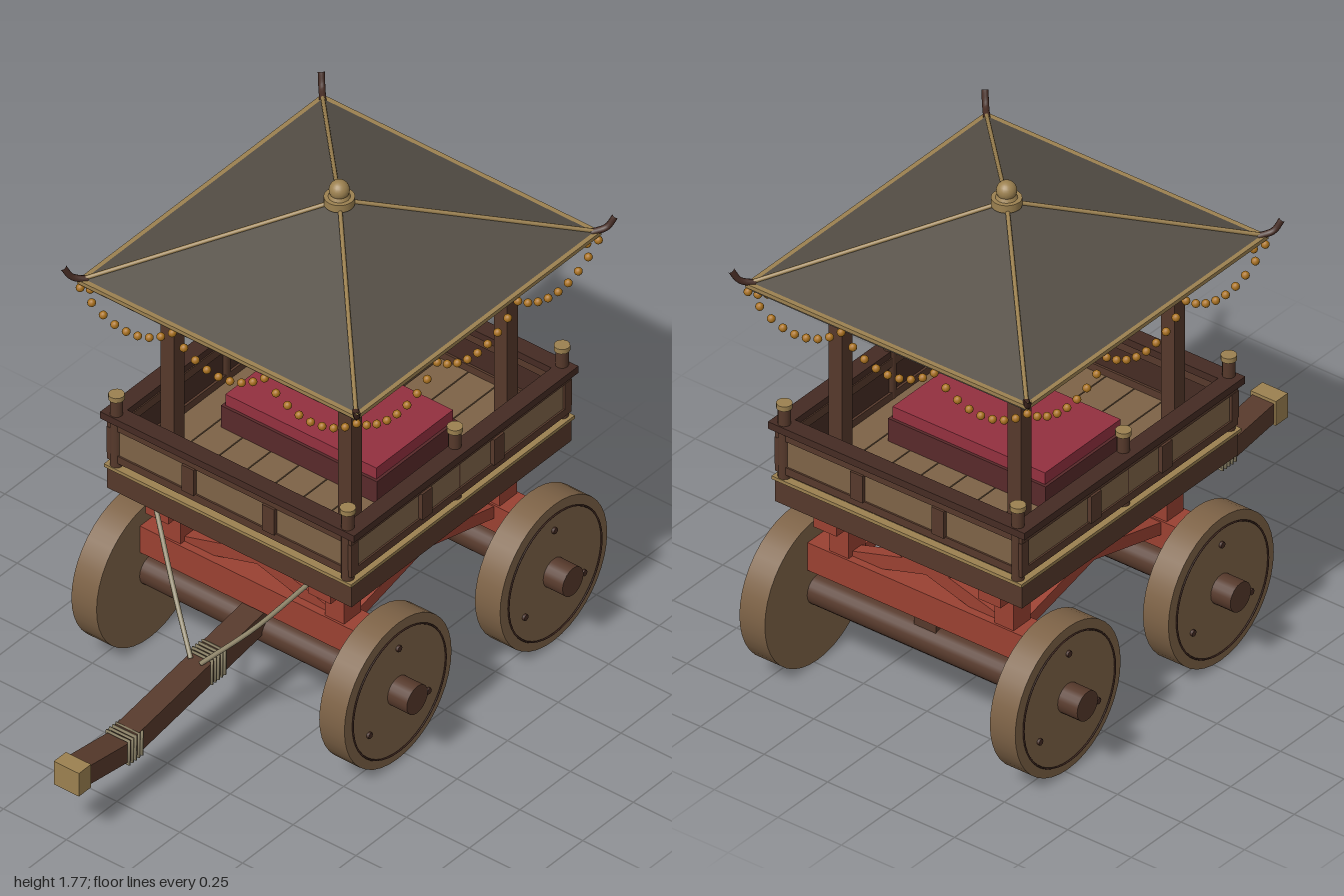
import * as THREE from 'three';

const mat = (name, color, extra = {}) => {
  const m = new THREE.MeshStandardMaterial({ color, ...extra });
  m.name = name;
  return m;
};

export function createModel() {
  const root = new THREE.Group();
  root.name = 'ceremonialCart';
  const wood = mat('darkWood', 0x56392b);
  const ebony = mat('ebonyWood', 0x452b23);
  const tan = mat('tanWood', 0x7e6347);
  const red = mat('redPaint', 0x9a4132);
  const slate = mat('roofSlate', 0x565047);
  const brass = mat('brass', 0x9c8150);
  const gold = mat('goldBeads', 0xa8701c);
  const crimson = mat('crimsonCloth', 0x93303f);
  const maroon = mat('maroonWood', 0x58292a);
  const rope = mat('rope', 0x8f8569);
  const CZ = -0.35;               // middle of the body
  const AXLES = [0.035, -0.735];
  const V = (x, y, z) => new THREE.Vector3(x, y, z);

  const add = (name, geo, m, x = 0, y = 0, z = 0, parent = root) => {
    const mesh = new THREE.Mesh(geo, m);
    mesh.name = name;
    mesh.position.set(x, y, z);
    parent.add(mesh);
    return mesh;
  };
  // box given by its size and centre
  const box = (name, m, w, h, d, x, y, z, parent) =>
    add(name, new THREE.BoxGeometry(w, h, d), m, x, y, z, parent);
  // square beam between two points
  const beam = (name, m, a, b, w, h) => {
    const mid = a.clone().add(b).multiplyScalar(0.5);
    const mesh = box(name, m, w, h, a.distanceTo(b), mid.x, mid.y, mid.z);
    mesh.lookAt(b);
    return mesh;
  };
  const tube = (name, m, pts, r, seg = 10) =>
    add(name, new THREE.TubeGeometry(new THREE.CatmullRomCurve3(pts), seg, r, 8), m);
  // rectangular ring of four bars with outer half sizes hx, hz
  const ring = (name, m, hx, hz, t, h, y) => {
    for (const s of [-1, 1]) {
      box(name, m, 2 * hx, h, t, 0, y, CZ + s * (hz - t / 2));
      box(name, m, t, h, 2 * (hz - t), s * (hx - t / 2), y, CZ);
    }
  };

  // Wheels and axles
  const axleGeo = new THREE.CylinderGeometry(0.052, 0.052, 1.24, 20).rotateZ(Math.PI / 2);
  const wheelGeo = new THREE.CylinderGeometry(0.265, 0.265, 0.1, 40).rotateZ(Math.PI / 2);
  const pegGeo = new THREE.CylinderGeometry(0.011, 0.011, 0.012, 8).rotateZ(Math.PI / 2);
  const grooveGeo = new THREE.TorusGeometry(0.23, 0.003, 6, 48).rotateY(Math.PI / 2);
  for (const z of AXLES) {
    add('axle', axleGeo, wood, 0, 0.268, z);
    for (const s of [-1, 1]) {
      const wheel = new THREE.Group();
      wheel.name = 'wheel';
      wheel.position.set(s * 0.493, 0.265, z);
      root.add(wheel);
      add('wheelDisc', wheelGeo, tan, 0, 0, 0, wheel);
      add('wheelRing', grooveGeo, ebony, s * 0.056, 0, 0, wheel);
      for (let i = 0; i < 3; i++) {
        const a = Math.PI / 2 + i * Math.PI * 2 / 3;
        add('wheelPeg', pegGeo, ebony, s * 0.053, 0.168 * Math.sin(a), 0.168 * Math.cos(a), wheel);
      }
    }
  }

  // Red undercarriage
  for (const z of AXLES) {
    box('bolster', red, 0.888, 0.103, 0.1, 0, 0.413, z);
    for (const s of [-1, 1]) {
      box('framePost', red, 0.075, 0.13, 0.085, s * 0.325, 0.525, z);
      beam('crossBrace', red, V(-s * 0.31, 0.45, z), V(s * 0.31, 0.63, z), 0.045, 0.05);
    }
  }
  for (const s of [-1, 1]) {
    box('sideRail', red, 0.09, 0.072, 1.0, s * 0.323, 0.625, CZ);
    for (const t of [-1, 1])
      beam('sideBrace', red, V(s * 0.323, 0.43, CZ - t * 0.36), V(s * 0.323, 0.61, CZ + t * 0.36), 0.045, 0.045);
  }
  box('reachBeam', wood, 0.085, 0.075, 0.82, 0, 0.343, CZ);

  // Draw pole with lashings and cap
  beam('drawPole', wood, V(0, 0.325, 0), V(0, 0.212, 0.71), 0.085, 0.08);
  beam('drawPoleTip', wood, V(0, 0.202, 0.7), V(0, 0.238, 0.96), 0.085, 0.072);
  box('poleCap', brass, 0.1, 0.09, 0.06, 0, 0.238, 0.97);
  const loopGeo = new THREE.TorusGeometry(0.062, 0.006, 6, 4).rotateZ(Math.PI / 4);
  for (let i = 0; i < 5; i++) {
    add('poleLashing', loopGeo, rope, 0, 0.208, 0.68 + i * 0.016);
    add('ropeLashing', loopGeo, rope, 0, 0.277, 0.27 + i * 0.016);
  }
  for (const s of [-1, 1])
    tube('stayRope', rope, [V(s * 0.31, 0.665, 0.175), V(s * 0.16, 0.465, 0.27), V(s * 0.02, 0.315, 0.36)], 0.008);

  // Body base, trim and floor planks
  box('bodyBase', wood, 0.972, 0.085, 1.088, 0, 0.7025, CZ);
  ring('baseTrim', brass, 0.492, 0.553, 0.03, 0.012, 0.75);
  for (let i = 0; i < 8; i++)
    box('floorPlank', tan, 0.108, 0.03, 1.05, (i - 3.5) * 0.112, 0.76, CZ);

  // Railing walls with inset panels
  ring('wallCore', ebony, 0.474, 0.532, 0.025, 0.16, 0.853);
  ring('wallBottomRail', wood, 0.486, 0.544, 0.045, 0.028, 0.788);
  ring('wallUpperRail', wood, 0.486, 0.544, 0.045, 0.032, 0.914);
  ring('wallCap', ebony, 0.505, 0.555, 0.06, 0.026, 0.941);
  for (const s of [-1, 1]) {
    for (const i of [-1, 0, 1]) {
      box('endPanel', tan, 0.272, 0.096, 0.008, i * 0.319, 0.85, CZ + s * 0.534);
      box('sidePanel', tan, 0.008, 0.096, 0.304, s * 0.476, 0.85, CZ + i * 0.357);
    }
    for (const t of [-1, 1]) {
      box('endStile', wood, 0.048, 0.1, 0.03, t * 0.16, 0.85, CZ + s * 0.537);
      box('sideStile', wood, 0.03, 0.1, 0.05, s * 0.479, 0.85, CZ + t * 0.178);
      box('cornerStile', wood, 0.026, 0.1, 0.035, s * 0.474, 0.85, CZ + t * 0.528);
    }
  }
  // Railing posts with brass caps
  const postGeo = new THREE.CylinderGeometry(0.021, 0.021, 0.26, 12);
  const capGeo = new THREE.CylinderGeometry(0.026, 0.026, 0.018, 12);
  for (const s of [-1, 1]) for (const dz of [-0.53, 0, 0.53]) {
    add('railPost', postGeo, wood, s * 0.46, 0.885, CZ + dz);
    add('railPostCap', capGeo, brass, s * 0.46, 1.022, CZ + dz);
  }

  // Seat
  box('seatPlinth', maroon, 0.62, 0.085, 0.4, 0, 0.817, CZ);
  box('seatCushion', crimson, 0.6, 0.045, 0.38, 0, 0.88, CZ);

  // Canopy pillars and beams
  for (const s of [-1, 1]) {
    for (const z of AXLES) box('pillar', wood, 0.053, 0.64, 0.053, s * 0.353, 1.09, z);
    box('canopySideBeam', wood, 0.085, 0.045, 0.85, s * 0.36, 1.422, CZ);
    box('canopyEndBeam', wood, 0.64, 0.04, 0.08, 0, 1.424, CZ + s * 0.385);
  }

  // Hipped roof with eave trim, ridges and upturned corners
  const HX = 0.55, HZ = 0.6, EAVE = 1.472, APEX = 1.69;
  const roofGeo = new THREE.ConeGeometry(Math.SQRT2, APEX - EAVE, 4).toNonIndexed();
  roofGeo.rotateY(Math.PI / 4).scale(HX, 1, HZ).computeVertexNormals();
  add('roof', roofGeo, slate, 0, (EAVE + APEX) / 2, CZ);
  box('roofSoffit', slate, 2 * HX - 0.02, 0.022, 2 * HZ - 0.02, 0, 1.456, CZ);
  ring('eaveTrim', brass, HX + 0.006, HZ + 0.006, 0.018, 0.014, 1.469);
  for (const s of [-1, 1]) for (const t of [-1, 1]) {
    const at = (k, y) => V(s * HX * k, y, CZ + t * HZ * k);
    tube('roofRidge', brass, [at(1, EAVE + 0.004), at(0.5, (EAVE + APEX) / 2 + 0.004), at(0, APEX + 0.004)], 0.007);
    tube('roofHorn', ebony, [at(0.97, 1.475), at(1.03, 1.49), V(s * 0.585, 1.53, CZ + t * 0.638)], 0.011);
  }
  // Finial
  add('finialBase', new THREE.CylinderGeometry(0.049, 0.049, 0.028, 20), brass, 0, 1.694, CZ);
  add('finialNeck', new THREE.CylinderGeometry(0.028, 0.036, 0.016, 20), brass, 0, 1.714, CZ);
  add('finialBall', new THREE.SphereGeometry(0.033, 20, 14), brass, 0, 1.734, CZ);

  // Bead garlands, three swags on every side
  const beadGeo = new THREE.IcosahedronGeometry(0.014, 1);
  const garland = new THREE.Group();
  garland.name = 'beadGarlands';
  root.add(garland);
  const N = 8;
  for (const s of [-1, 1]) for (let i = 0; i <= 3 * N; i++) {
    const u = i / (3 * N) * 2 - 1;
    const k = (i % N) / N * 2 - 1;
    const y = 1.36 + 0.083 * k * k;
    add('bead', beadGeo, gold, u * 0.55, y, CZ + s * 0.598, garland);
    if (i > 0 && i < 3 * N) add('bead', beadGeo, gold, s * 0.55, y, CZ + u * 0.598, garland);
  }
  return root;
}
